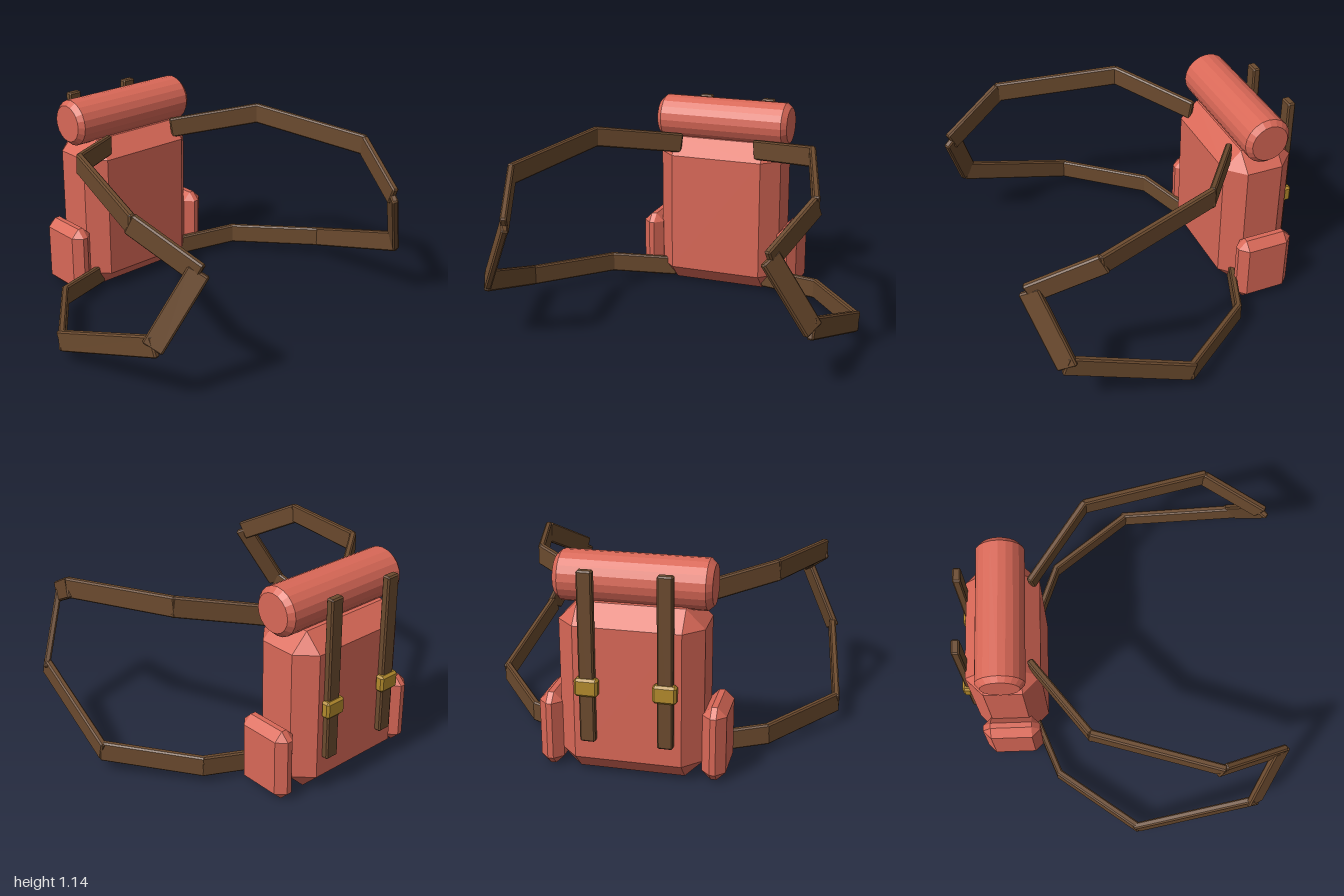
import * as THREE from 'three';
import { ConvexGeometry } from 'three/addons/geometries/ConvexGeometry.js';

const mat = (color) => new THREE.MeshStandardMaterial({ color, flatShading: true });
const fabric = mat(0xd96857);
const leather = mat(0x6b4a2e);
const brass = mat(0xb38a2c);

// Box of size w, h, d with every edge cut off by c
function chamferBox(w, h, d, c) {
  const [x, y, z] = [w / 2, h / 2, d / 2];
  const points = [];
  for (const i of [-1, 1]) for (const j of [-1, 1]) for (const k of [-1, 1]) {
    points.push(
      new THREE.Vector3(i * x, j * (y - c), k * (z - c)),
      new THREE.Vector3(i * (x - c), j * y, k * (z - c)),
      new THREE.Vector3(i * (x - c), j * (y - c), k * z)
    );
  }
  return new ConvexGeometry(points);
}

function addMesh(parent, name, geometry, material, x = 0, y = 0, z = 0) {
  const mesh = new THREE.Mesh(geometry, material);
  mesh.name = name;
  mesh.position.set(x, y, z);
  parent.add(mesh);
  return mesh;
}

// Centre line of the left carrying loop, from the top of the pack to its foot
const loopPath = [
  [0.24, 0.885, -0.46], [0.65, 0.96, -0.16], [0.84, 0.895, 0.51], [0.71, 0.72, 0.84],
  [0.895, 0.35, 0.73], [0.98, 0.13, 0.08], [0.65, 0.105, -0.36], [0.29, 0.075, -0.5],
];
const STEEP = 3; // the segment that twists away from upright

function shoulderStrap(side) {
  const strap = new THREE.Group();
  strap.name = side > 0 ? 'leftShoulderStrap' : 'rightShoulderStrap';
  const pts = loopPath.map(([x, y, z]) => new THREE.Vector3(side * x, y, z));
  for (let i = 0; i < pts.length - 1; i++) {
    const along = pts[i + 1].clone().sub(pts[i]);
    const length = along.length();
    along.normalize();
    // Band width runs as upright as the segment allows
    const across = i === STEEP ? new THREE.Vector3(side * 0.45, 0.5, -0.8) : new THREE.Vector3(0, 1, 0);
    across.addScaledVector(along, -across.dot(along)).normalize();
    const out = along.clone().cross(across);
    const mid = pts[i].clone().add(pts[i + 1]).multiplyScalar(0.5);
    const band = addMesh(strap, 'strapSegment', chamferBox(length + 0.024, 0.115, 0.036, 0.008), leather, mid.x, mid.y, mid.z);
    band.quaternion.setFromRotationMatrix(new THREE.Matrix4().makeBasis(along, across, out));
  }
  return strap;
}

export function createModel() {
  const model = new THREE.Group();
  model.name = 'backpack';

  // Main bag
  addMesh(model, 'bag', chamferBox(0.75, 0.91, 0.405, 0.098), fabric, 0, 0.455, -0.6225);

  // Rolled blanket on top, with bevelled ends
  const profile = [[0, -0.405], [0.105, -0.405], [0.132, -0.375], [0.132, 0.375], [0.105, 0.405], [0, 0.405]]
    .map(([r, y]) => new THREE.Vector2(r, y));
  const roll = addMesh(model, 'bedroll', new THREE.LatheGeometry(profile, 20), fabric, 0, 1.01, -0.618);
  roll.rotation.z = Math.PI / 2;

  for (const side of [-1, 1]) {
    // Side pocket
    addMesh(model, 'sidePocket', chamferBox(0.124, 0.405, 0.326, 0.047), fabric, side * 0.428, 0.2025, -0.619);
    // Upright back strap with its buckle
    addMesh(model, 'backStrap', chamferBox(0.08, 0.905, 0.045, 0.008), leather, side * 0.2, 0.6575, -0.837);
    addMesh(model, 'buckle', chamferBox(0.122, 0.095, 0.052, 0.012), brass, side * 0.2, 0.505, -0.85);
    // Carrying loop
    model.add(shoulderStrap(side));
  }
  return model;
}
